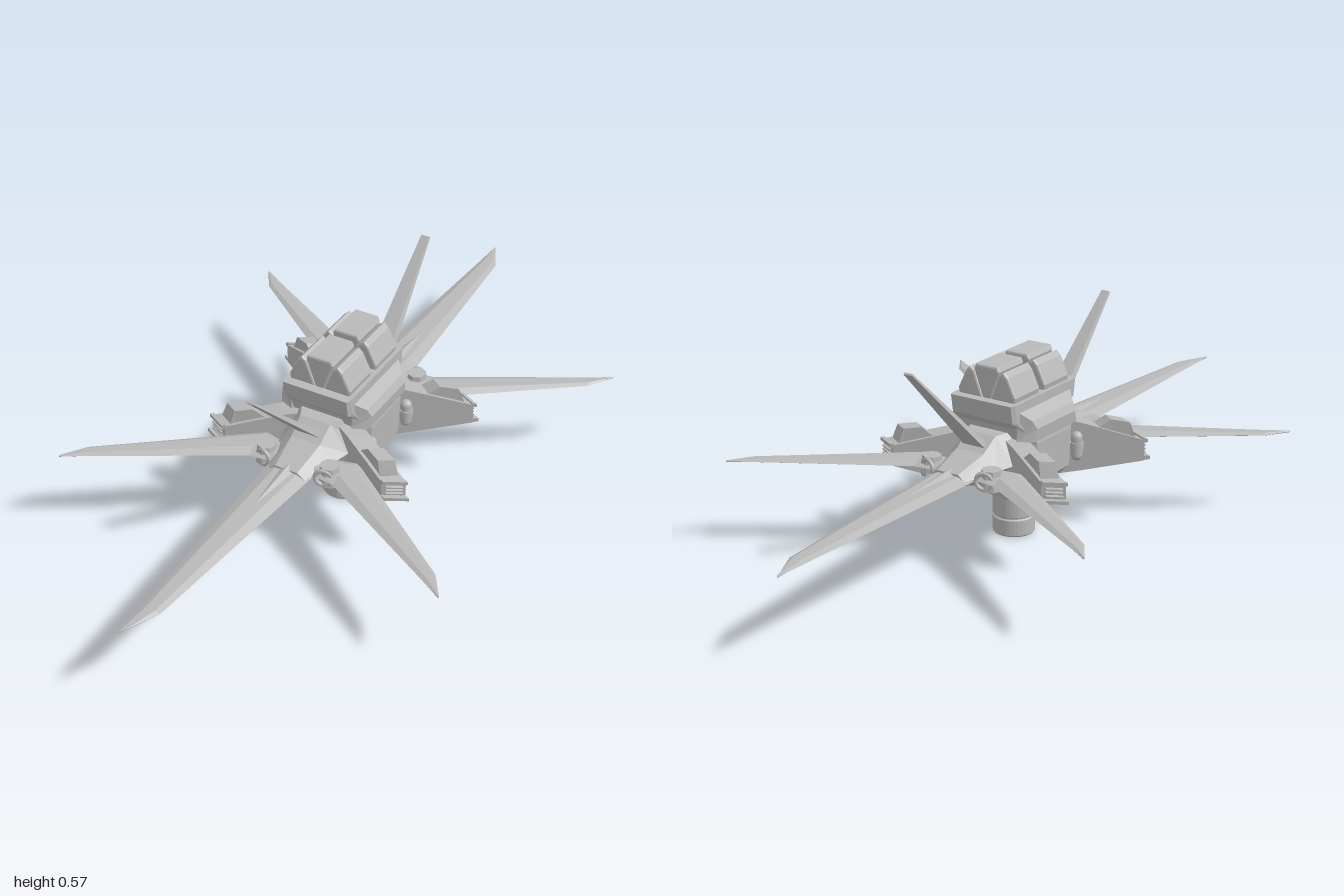
import * as THREE from 'three';

const grey = new THREE.MeshStandardMaterial({ color: 0xb8b8b8 });
grey.name = 'hull grey';

// Flat-faced solid through rings of [x, y, z] points, always wound outwards
function loft(rings) {
  const tris = [], n = rings[0].length;
  for (let r = 0; r < rings.length - 1; r++) {
    for (let i = 0; i < n; i++) {
      const j = (i + 1) % n, a = rings[r], b = rings[r + 1];
      tris.push([a[i], a[j], b[j]], [a[i], b[j], b[i]]);
    }
  }
  const first = rings[0], last = rings[rings.length - 1];
  for (let i = 1; i < n - 1; i++) {
    tris.push([first[0], first[i + 1], first[i]], [last[0], last[i], last[i + 1]]);
  }
  const o = new THREE.Vector3(...first[0]);
  let volume = 0;
  for (const t of tris) {
    const [a, b, c] = t.map(p => new THREE.Vector3(...p).sub(o));
    volume += a.dot(b.cross(c));
  }
  if (volume < 0) tris.forEach(t => t.reverse());
  const g = new THREE.BufferGeometry();
  g.setAttribute('position', new THREE.Float32BufferAttribute(tris.flat(2), 3));
  g.computeVertexNormals();
  return g;
}

const flip = (rings, sx, sz) => rings.map(r => r.map(([x, y, z]) => [x * sx, y, z * sz]));

// Octagonal plan ring: half sizes x, z and the flat lengths left by the corner cuts
const octagon = (y, x, z, fx, fz) => [
  [x, y, fz], [fx, y, z], [-fx, y, z], [-x, y, fz],
  [-x, y, -fz], [-fx, y, -z], [fx, y, -z], [x, y, -fz]];

// Bevelled blade ring between two edge points p and q
function bladeRing([px, pz, qx, qz, y, up, down]) {
  const at = (t, h) => [px + (qx - px) * t, h, pz + (qz - pz) * t];
  return [at(0, y), at(0.25, y + up), at(0.75, y + up), at(1, y), at(0.75, y - down), at(0.25, y - down)];
}

export function createModel() {
  const model = new THREE.Group();
  const add = (name, geometry, parent = model) => {
    const m = new THREE.Mesh(geometry, grey);
    m.name = name;
    parent.add(m);
    return m;
  };

  // Docking neck, hollow at the lower end
  const neck = [[0, 0.03], [0.045, 0.03], [0.045, 0], [0.055, 0], [0.058, 0.004], [0.058, 0.047],
    [0.054, 0.05], [0.054, 0.053], [0.058, 0.056], [0.058, 0.11], [0.062, 0.125], [0.062, 0.16]];
  const lathe = new THREE.LatheGeometry(neck.map(p => new THREE.Vector2(...p)), 32).toNonIndexed();
  lathe.computeVertexNormals();
  add('neck', lathe);
  add('neckFlange', loft([octagon(0.12, 0.07, 0.07, 0.035, 0.035), octagon(0.165, 0.085, 0.085, 0.04, 0.04)]));

  // Central hull
  add('hull', loft([
    octagon(0.15, 0.085, 0.1, 0.06, 0.06),
    octagon(0.19, 0.125, 0.11, 0.08, 0.08),
    octagon(0.30, 0.13, 0.11, 0.085, 0.08),
    octagon(0.36, 0.12, 0.125, 0.095, 0.09)]));

  // Upper deck with side shoulders
  add('deck', loft([
    octagon(0.345, 0.1, 0.125, 0.085, 0.11),
    octagon(0.365, 0.1, 0.145, 0.095, 0.13),
    octagon(0.415, 0.1, 0.153, 0.095, 0.14)]));
  for (const s of [1, -1]) {
    const shoulder = z => [[0.09, 0.31, z], [0.132, 0.31, z * 0.85], [0.136, 0.345, z * 0.75],
      [0.125, 0.366, z * 0.8], [0.1, 0.39, z], [0.09, 0.39, z]];
    add('shoulder', loft(flip([shoulder(-0.12), shoulder(0.12)], s, 1)));
  }

  // Roof pods: two rows of side lobes around a centre wedge
  for (const sz of [1, -1]) {
    const row = new THREE.Group();
    row.name = 'roofPods';
    model.add(row);
    const slab = (pts) => {
      const shape = new THREE.Shape(pts.map(p => new THREE.Vector2(...p)));
      const g = new THREE.ExtrudeGeometry(shape, {
        depth: 0.104, bevelThickness: 0.006, bevelSize: 0.006, bevelSegments: 2, steps: 1 });
      return g.translate(0, 0, sz > 0 ? 0.017 : -0.121);
    };
    const lobe = [[0.02, 0.418], [0.083, 0.418], [0.085, 0.428], [0.062, 0.476], [0.053, 0.485], [0.045, 0.48]];
    add('sideLobe', slab(lobe), row);
    add('sideLobe', slab(lobe.map(([x, y]) => [-x, y]).reverse()), row);
    add('centreWedge', slab([[-0.008, 0.418], [0.008, 0.418], [0.034, 0.49], [0.03, 0.498], [-0.03, 0.498], [-0.034, 0.49]]), row);
  }

  // Front and back: blade mount, long blade and raised fin
  for (const sz of [1, -1]) {
    const mount = (z, w, low, high, top) => [[-w * 0.6, low, z], [w * 0.6, low, z], [w, (low + high) / 2, z],
      [w * top, high, z], [-w * top, high, z], [-w, (low + high) / 2, z]];
    add('bladeMount', loft(flip([
      mount(0.08, 0.11, 0.15, 0.33, 0.7), mount(0.15, 0.1, 0.18, 0.325, 0.45),
      mount(0.2, 0.085, 0.21, 0.29, 0.5), mount(0.3, 0.055, 0.23, 0.262, 0.6)], 1, sz)));

    add('longBlade', loft(flip([
      [-0.055, 0.2, 0.055, 0.2, 0.243, 0.015, 0.012],
      [-0.065, 0.29, 0.064, 0.27, 0.243, 0.014, 0.011],
      [-0.039, 0.9, 0.014, 0.9, 0.238, 0.006, 0.005],
      [-0.035, 1, -0.03, 0.99, 0.237, 0.003, 0.003]].map(bladeRing), 1, sz)));

    add('noseRidge', loft(flip([
      [[-0.045, 0.25, 0.2], [0, 0.275, 0.2], [0.045, 0.25, 0.2]],
      [[-0.012, 0.247, 0.45], [0, 0.254, 0.45], [0.012, 0.247, 0.45]]], 1, sz)));

    add('raisedFin', loft(flip([
      [[-0.038, 0.265, 0.15], [0.038, 0.265, 0.15], [0.03, 0.285, 0.135], [-0.03, 0.285, 0.135]],
      [[-0.033, 0.315, 0.2], [0.033, 0.315, 0.2], [0.026, 0.329, 0.19], [-0.026, 0.329, 0.19]],
      [[-0.014, 0.567, 0.457], [0.014, 0.567, 0.457], [0.012, 0.571, 0.453], [-0.012, 0.571, 0.453]]], 1, sz)));
  }

  // Four corners: side blade, hinge, radiator arm and thruster capsule
  for (const sx of [1, -1]) for (const sz of [1, -1]) {
    add('sideBlade', loft(flip([
      [0.05, 0.19, 0.05, 0.27, 0.245, 0.014, 0.01],
      [0.14, 0.168, 0.125, 0.278, 0.245, 0.013, 0.009],
      [0.515, 0.455, 0.505, 0.495, 0.243, 0.005, 0.004],
      [0.56, 0.523, 0.557, 0.527, 0.243, 0.002, 0.002]].map(bladeRing), sx, sz)));

    const hinge = add('hinge', new THREE.CylinderGeometry(0.026, 0.03, 0.055, 8).toNonIndexed());
    hinge.geometry.computeVertexNormals();
    hinge.position.set(sx * 0.095, 0.245, sz * 0.24);
    const ring = add('hingeRing', new THREE.TorusGeometry(0.022, 0.006, 8, 20));
    ring.position.set(sx * 0.09, 0.245, sz * 0.265);
    ring.rotation.y = sx * sz * 0.3;

    // Arm ring from the inner side (t = 0) to the end face (t = 1)
    const armRing = (t, low, high, inset = 0) => {
      const a = [0.1 + 0.207 * t, 0.09 + 0.11 * t], b = [0.06 + 0.19 * t, 0.13 + 0.1 * t];
      const mix = k => [a[0] + (b[0] - a[0]) * k, a[1] + (b[1] - a[1]) * k];
      const p = mix(inset), q = mix(1 - inset);
      return [[p[0], low, p[1]], [q[0], low, q[1]], [q[0], high, q[1]], [p[0], high, p[1]]];
    };
    const arm = new THREE.Group();
    arm.name = 'radiatorArm';
    model.add(arm);
    const part = (name, rings) => add(name, loft(flip(rings, sx, sz)), arm);
    part('armBody', [armRing(-0.1, 0.155, 0.315), armRing(0.2, 0.168, 0.305), armRing(0.93, 0.204, 0.262)]);
    part('armTopBlock', [armRing(0.38, 0.27, 0.285, 0.12), armRing(0.56, 0.26, 0.315, 0.15),
      armRing(0.78, 0.25, 0.308, 0.15), armRing(0.84, 0.25, 0.268, 0.12)]);
    // Vent frame and slats on the end face
    part('ventSill', [armRing(0.92, 0.205, 0.218), armRing(1, 0.209, 0.218)]);
    part('ventLintel', [armRing(0.92, 0.255, 0.268), armRing(0.97, 0.257, 0.266)]);
    for (const y of [0.226, 0.236, 0.246]) {
      part('ventSlat', [armRing(0.92, y, y + 0.004, 0.15), armRing(0.965, y - 0.003, y + 0.001, 0.15)]);
    }

    const capsule = add('thrusterCapsule', new THREE.CapsuleGeometry(0.016, 0.05, 4, 12));
    capsule.position.set(sx * 0.138, 0.243, sz * 0.097);
    const band = add('capsuleBand', new THREE.CylinderGeometry(0.019, 0.019, 0.022, 12));
    band.position.copy(capsule.position);

    // Small braces beside the neck
    add('neckBrace', loft(flip([
      [[0.05, 0.125, 0.04], [0.08, 0.125, 0.06], [0.06, 0.125, 0.08], [0.04, 0.125, 0.05]],
      [[0.05, 0.165, 0.04], [0.095, 0.165, 0.07], [0.07, 0.165, 0.095], [0.04, 0.165, 0.05]]], sx, sz)));
  }
  return model;
}
